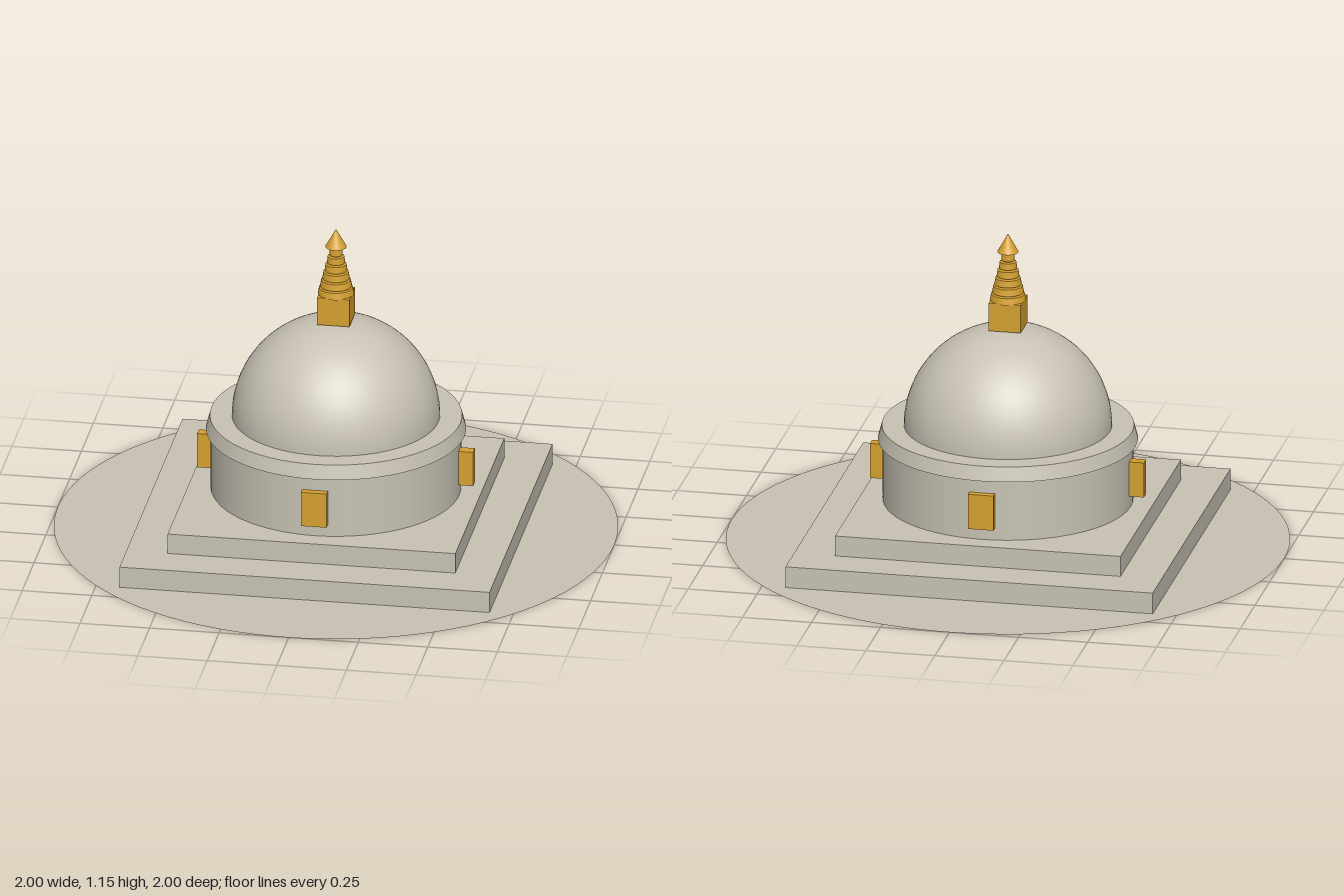
import * as THREE from 'three';

export function createModel() {
  const model = new THREE.Group();
  const stone = new THREE.MeshStandardMaterial({ color: 0xc8c2b4 });
  stone.name = 'pale stone';
  stone.side = THREE.DoubleSide;
  const gold = new THREE.MeshStandardMaterial({ color: 0xd4a030 });
  gold.name = 'gold';

  const add = (name, geometry, material, x = 0, y = 0, z = 0) => {
    const mesh = new THREE.Mesh(geometry, material);
    mesh.name = name;
    mesh.position.set(x, y, z);
    model.add(mesh);
    return mesh;
  };
  // Boxes and round tiers are placed by the height of their underside
  const box = (name, w, h, d, material, y, x = 0, z = 0) =>
    add(name, new THREE.BoxGeometry(w, h, d), material, x, y + h / 2, z);
  const tier = (name, top, bottom, h, material, y, sides = 64) =>
    add(name, new THREE.CylinderGeometry(top, bottom, h, sides), material, 0, y + h / 2, 0);

  // Ground disc and square terraces
  add('groundDisc', new THREE.CircleGeometry(1, 96).rotateX(-Math.PI / 2), stone, 0, 0.001, 0);
  box('lowerTerrace', 1.33, 0.078, 1.33, stone, 0.002);
  box('upperTerrace', 1.034, 0.075, 1.034, stone, 0.08);

  // Round drum, flared cornice and dome
  tier('drum', 0.444, 0.444, 0.225, stone, 0.155);
  tier('cornice', 0.447, 0.461, 0.052, stone, 0.38);
  add('dome', new THREE.SphereGeometry(0.369, 64, 24, 0, Math.PI * 2, 0, Math.PI / 2), stone, 0, 0.432, 0);

  // Niche blocks on the four sides of the drum
  for (const [x, z] of [[0, 1], [0, -1], [1, 0], [-1, 0]]) {
    box('niche', 0.092, 0.13, 0.038, gold, 0.2, x * 0.45, z * 0.45);
  }

  // Square block and stepped spire
  box('spireBlock', 0.116, 0.104, 0.116, gold, 0.8);
  for (let i = 0; i < 6; i++) {
    const r = 0.065 - i * 0.0082;
    tier('spireRing', r * 0.92, r, 0.024, gold, 0.902 + i * 0.03, 24);
  }
  tier('spireCore', 0.012, 0.02, 0.19, gold, 0.9, 16);
  add('finial', new THREE.ConeGeometry(0.038, 0.068, 24), gold, 0, 1.116, 0);

  return model;
}
